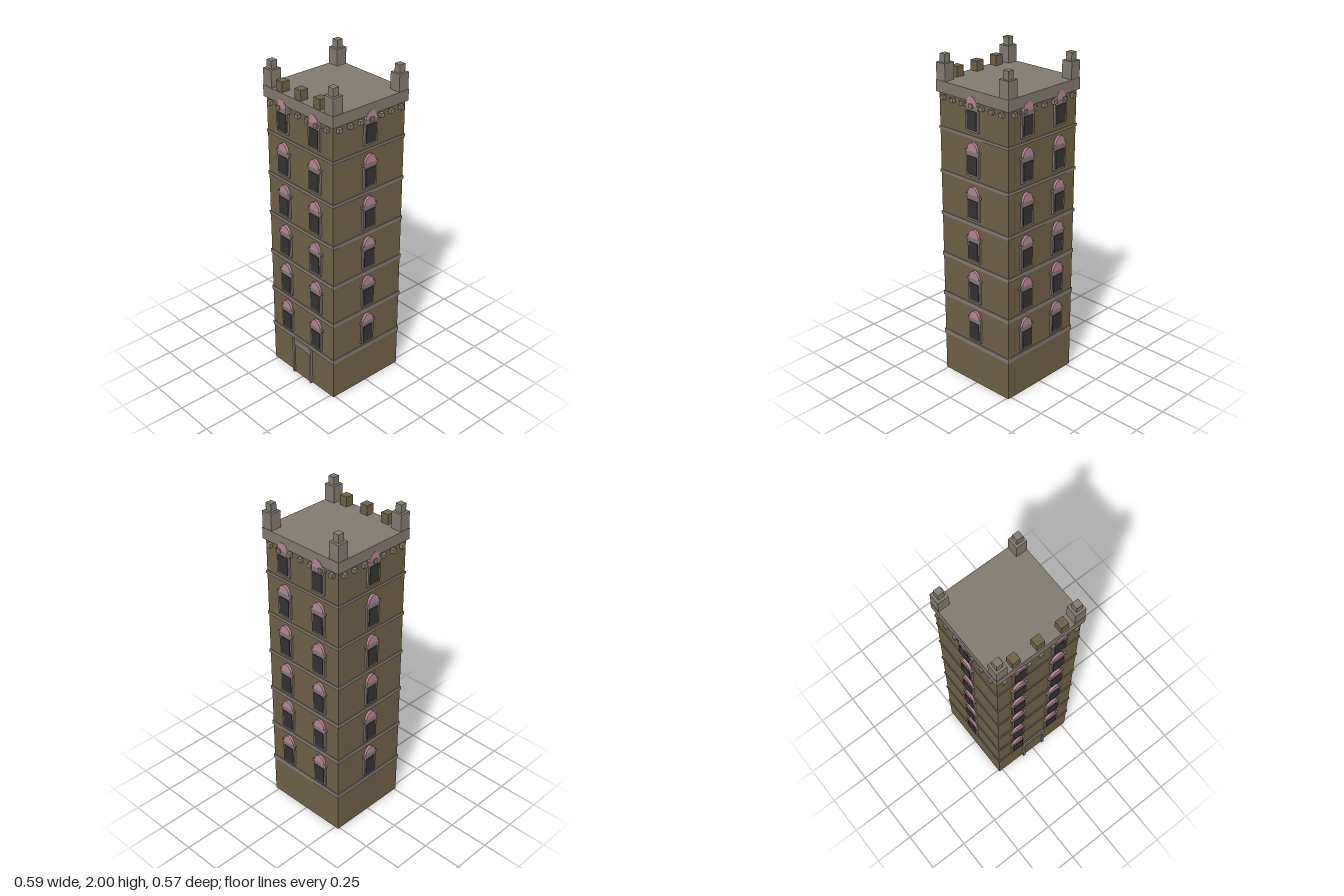
import * as THREE from 'three';

const mat = (name, color) => Object.assign(new THREE.MeshStandardMaterial({ color, flatShading: true }), { name });
const brick = mat('brown masonry', 0x6e6146);
const stone = mat('grey stone', 0x827a70);
const glass = mat('dark glass', 0x333333);
const pink = mat('pink arch', 0xb58794);

// Half extents of the tower body
const HX = 0.275, HZ = 0.2625, FLOOR = 0.263;

// Box given by centre x, bottom y, centre z and size
function box(parent, name, material, x, y, z, w, h, d) {
  const mesh = new THREE.Mesh(new THREE.BoxGeometry(w, h, d), material);
  mesh.position.set(x, y + h / 2, z);
  mesh.name = name;
  parent.add(mesh);
}

// Half-round arch that sits on a window lintel
const archShape = new THREE.Shape();
archShape.absellipse(0, 0, 0.04, 0.05, 0, Math.PI, false);
archShape.closePath();
const archGeometry = new THREE.ExtrudeGeometry(archShape, { depth: 0.0145, bevelEnabled: false, curveSegments: 8 });

// Window on a wall plane at z = 0, facing +z, origin at the sill
function makeWindow() {
  const g = new THREE.Group();
  g.name = 'window';
  box(g, 'windowFrame', stone, 0, 0, 0.005, 0.095, 0.138, 0.014);
  box(g, 'windowPane', glass, 0, 0.011, 0.0135, 0.074, 0.111, 0.005);
  box(g, 'windowLintel', stone, 0, 0.138, 0.006, 0.11, 0.015, 0.013);
  const arch = new THREE.Mesh(archGeometry, pink);
  arch.name = 'windowArch';
  arch.position.y = 0.152;
  g.add(arch);
  return g;
}

export function createModel() {
  const model = new THREE.Group();
  model.name = 'tower';
  box(model, 'towerBody', brick, 0, 0, 0, HX * 2, 1.8, HZ * 2);

  // String courses, slimmer towards the top
  for (let i = 0; i < 6; i++) {
    const h = 0.028 - i * 0.0024;
    box(model, 'stringCourse', stone, 0, 0.262 + i * FLOOR - h / 2, 0, HX * 2 + 0.01, h, HZ * 2 + 0.01);
  }

  // Four walls: windows and brackets
  for (let side = 0; side < 4; side++) {
    const wall = new THREE.Group();
    wall.name = ['frontWall', 'leftWall', 'backWall', 'rightWall'][side];
    wall.rotation.y = side * Math.PI / 2;
    const isLong = side % 2 === 0;
    const dist = isLong ? HZ : HX;
    for (let floor = 0; floor < 6; floor++) {
      for (const x of isLong ? [-0.132, 0.132] : [0]) {
        const w = makeWindow();
        w.position.set(x, 0.296 + floor * FLOOR, dist);
        wall.add(w);
      }
    }
    for (let i = -3; i <= 3; i++) {
      box(wall, 'bracket', stone, i * (isLong ? 0.0786 : 0.075), 1.747, dist + 0.0085, 0.025, 0.025, 0.025);
    }
    model.add(wall);
  }

  // Roof slab with corner turrets
  box(model, 'roofSlab', stone, 0, 1.785, 0, 0.576, 0.067, 0.551);
  for (const sx of [-1, 1]) for (const sz of [-1, 1]) {
    box(model, 'cornerTurret', stone, sx * 0.251, 1.85, sz * 0.239, 0.069, 0.102, 0.069);
    box(model, 'turretCap', stone, sx * 0.251, 1.952, sz * 0.239, 0.04, 0.048, 0.04);
  }
  // Front merlons
  for (const x of [-0.155, 0, 0.155]) box(model, 'merlon', brick, x, 1.85, 0.2435, 0.051, 0.062, 0.051);

  // Front door with stone surround
  box(model, 'doorPanel', brick, 0, 0, HZ + 0.002, 0.14, 0.212, 0.01);
  box(model, 'doorLintel', stone, 0, 0.21, HZ + 0.005, 0.16, 0.045, 0.018);
  for (const s of [-1, 1]) box(model, 'doorJamb', stone, s * 0.077, 0, HZ + 0.006, 0.015, 0.25, 0.02);

  return model;
}
